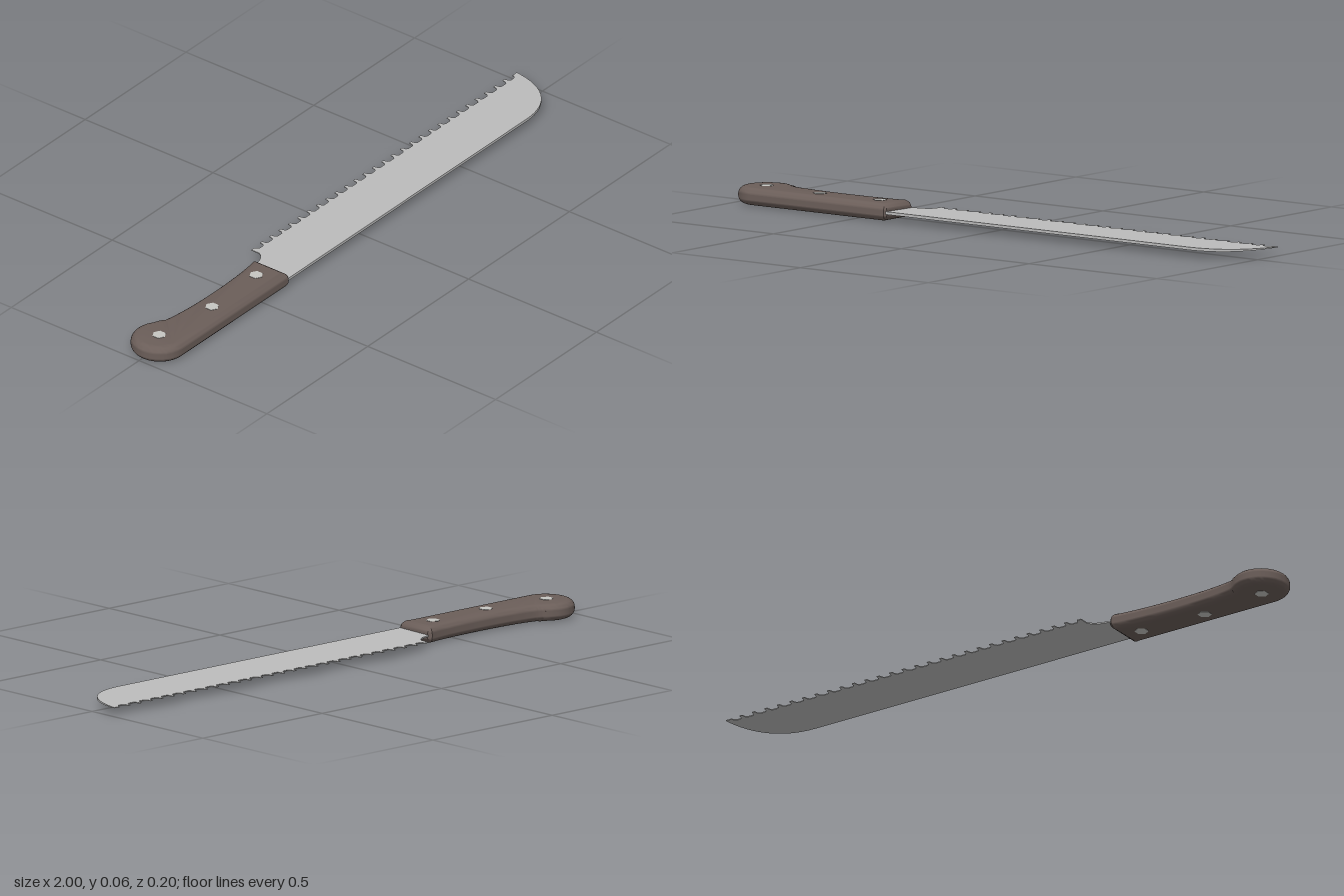
import * as THREE from 'three';
import { toCreasedNormals } from 'three/addons/utils/BufferGeometryUtils.js';

const MID = 0.028; // height of the blade's middle plane

const mat = (name, color) => {
  const m = new THREE.MeshStandardMaterial({ color });
  m.name = name;
  return m;
};

// Lay an extruded outline flat: shape y becomes -z, depth becomes y
function flatMesh(name, geometry, material) {
  geometry.rotateX(-Math.PI / 2);
  const mesh = new THREE.Mesh(toCreasedNormals(geometry, 0.6), material);
  mesh.position.y = MID;
  mesh.name = name;
  return mesh;
}

function buildHandle(material) {
  const s = new THREE.Shape();
  s.moveTo(-0.385, -0.1);
  s.lineTo(-0.378, -0.092);
  s.lineTo(-0.378, 0.03);
  s.lineTo(-0.388, 0.041);
  // concave grip, then the round butt
  s.bezierCurveTo(-0.47, 0.024, -0.7, 0.018, -0.82, 0.042);
  s.quadraticCurveTo(-0.838, 0.047, -0.85, 0.0571);
  s.absarc(-0.91, -0.01, 0.09, 0.841, Math.PI * 1.5, false);
  const r = 0.025;
  const depth = 0.004;
  const g = new THREE.ExtrudeGeometry(s, {
    depth, curveSegments: 20, bevelEnabled: true, bevelSegments: 6,
    bevelSize: r, bevelThickness: r, bevelOffset: -r,
  });
  g.translate(0, 0, -depth / 2);
  return flatMesh('handle', g, material);
}

function buildBlade(material) {
  const s = new THREE.Shape();
  // straight spine and curved tip
  s.moveTo(-0.42, -0.095);
  s.lineTo(0.8, -0.095);
  s.bezierCurveTo(0.92, -0.095, 0.985, -0.02, 1, 0.1);
  s.lineTo(0.978, 0.1);
  s.lineTo(0.976, 0.092);
  s.lineTo(0.968, 0.086);
  // row of narrow teeth, from tip back to heel
  const teeth = 27;
  const pitch = 0.0463;
  for (let i = teeth; i >= 1; i--) {
    const x = -0.309 + i * pitch;
    s.lineTo(x + 0.013, 0.086);
    s.lineTo(x + 0.007, 0.092);
    s.lineTo(x + 0.005, 0.105);
    s.lineTo(x - 0.005, 0.105);
    s.lineTo(x - 0.007, 0.092);
    s.lineTo(x - 0.013, 0.086);
  }
  s.lineTo(-0.294, 0.086);
  s.lineTo(-0.302, 0.1);
  s.lineTo(-0.317, 0.1);
  // hollow at the heel
  s.lineTo(-0.317, 0.07);
  s.quadraticCurveTo(-0.33, 0.042, -0.37, 0.038);
  s.lineTo(-0.385, 0.03);
  s.lineTo(-0.42, 0.02);

  const g = new THREE.ExtrudeGeometry(s, { depth: 2, bevelEnabled: false, curveSegments: 16 });
  g.translate(0, 0, -1);
  // thin the blade from spine to teeth
  const p = g.attributes.position;
  for (let i = 0; i < p.count; i++) {
    const t = (p.getY(i) + 0.095) / 0.2;
    p.setZ(i, p.getZ(i) * THREE.MathUtils.lerp(0.0045, 0.0012, t));
  }
  return flatMesh('blade', g, material);
}

export function createModel() {
  const wood = mat('dark brown wood', 0x6b5e59);
  const steel = mat('blade steel', 0xbcbcbc);
  const rivetSteel = mat('rivet steel', 0xc6c6c2);

  const knife = new THREE.Group();
  knife.name = 'breadKnife';
  knife.add(buildHandle(wood), buildBlade(steel));

  // rivets pass right through the handle
  const rivetGeometry = new THREE.CylinderGeometry(0.022, 0.022, 0.056, 6);
  [[-0.913, 0.01], [-0.684, 0.036], [-0.455, 0.028]].forEach(([x, z], i) => {
    const rivet = new THREE.Mesh(rivetGeometry, rivetSteel);
    rivet.name = `rivet${i + 1}`;
    rivet.position.set(x, MID, z);
    knife.add(rivet);
  });
  return knife;
}
